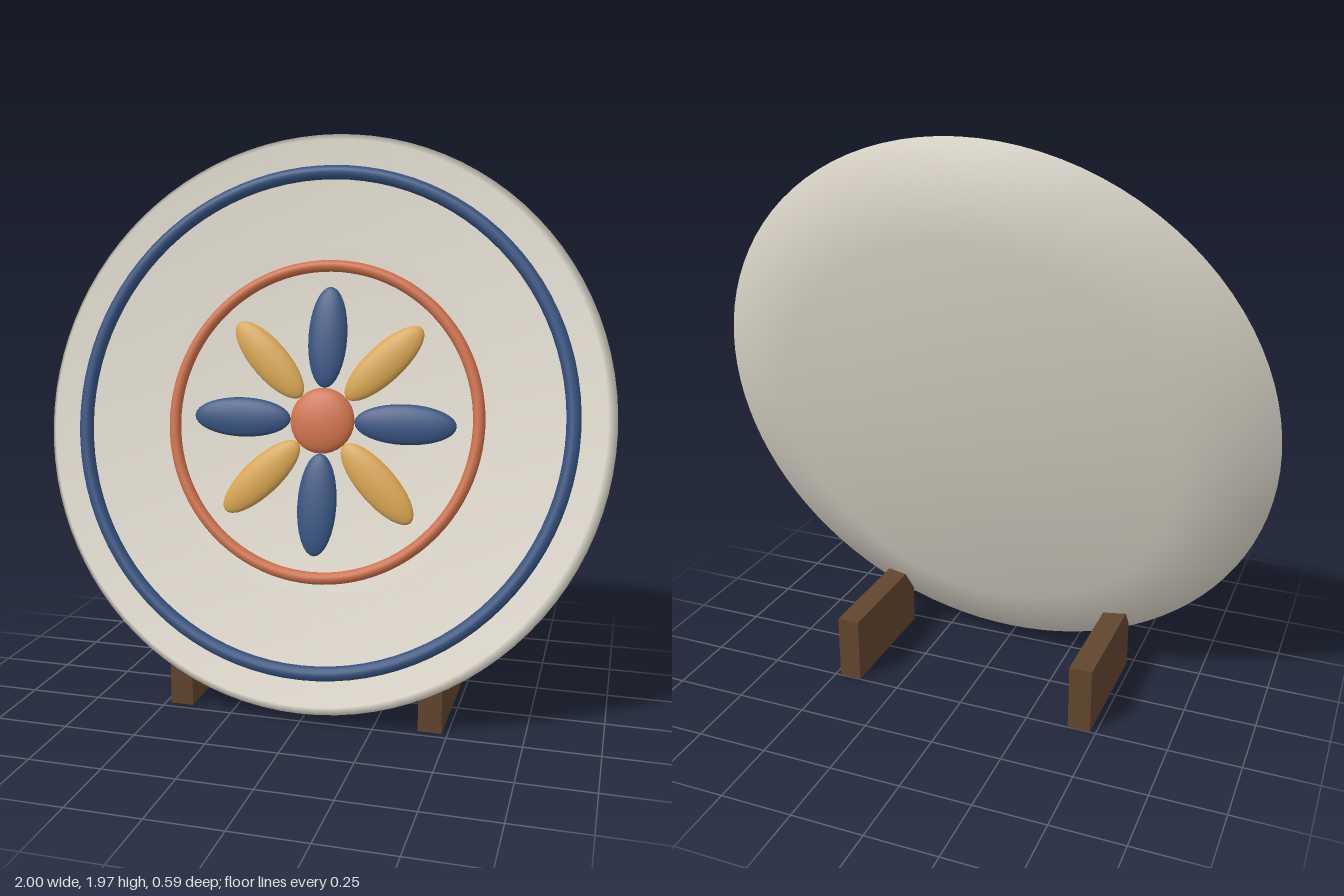
import * as THREE from 'three';

const paint = (name, color) => {
  const m = new THREE.MeshStandardMaterial({ color });
  m.name = name;
  return m;
};

export function createModel() {
  const cream = paint('creamGlaze', 0xddd7ca);
  const blue = paint('blueGlaze', 0x35527f);
  const orange = paint('orangeGlaze', 0xcd704a);
  const yellow = paint('yellowGlaze', 0xd5a34e);
  const wood = paint('wood', 0x61462d);

  const model = new THREE.Group();
  model.name = 'decorativePlateOnStand';

  // Plate group: local +y is the plate's front, leaning back 0.25 rad
  const plate = new THREE.Group();
  plate.name = 'plate';
  plate.position.set(0, 1.0025, 0.0175);
  plate.rotation.x = Math.PI / 2 - 0.25;
  model.add(plate);

  const add = (parent, name, geometry, material) => {
    const mesh = new THREE.Mesh(geometry, material);
    mesh.name = name;
    parent.add(mesh);
    return mesh;
  };

  // Dish: flat back, flared side, thin lip and shallow well
  const profile = [
    [0, -0.136], [0.71, -0.136], [1, 0], [0.97, 0.039], [0.6, -0.06], [0, -0.06],
  ].map(([r, y]) => new THREE.Vector2(r, y));
  add(plate, 'dish', new THREE.LatheGeometry(profile, 96), cream);

  // Raised rings
  const ring = (name, radius, tube, y, material) => {
    const geometry = new THREE.TorusGeometry(radius, tube, 14, 96).rotateX(Math.PI / 2);
    add(plate, name, geometry, material).position.y = y;
  };
  ring('outerRing', 0.862, 0.025, 0.01, blue);
  ring('innerRing', 0.546, 0.021, -0.055, orange);

  // Flower: eight alternating petals around a domed centre
  const flower = new THREE.Group();
  flower.name = 'flower';
  flower.position.y = -0.055;
  plate.add(flower);
  const ball = new THREE.SphereGeometry(1, 32, 20);
  for (let i = 0; i < 8; i++) {
    const angle = (i * Math.PI) / 4;
    const petal = add(flower, 'petal', ball, i % 2 ? yellow : blue);
    petal.scale.set(0.178, 0.026, i % 2 ? 0.066 : 0.07);
    petal.position.set(0.293 * Math.cos(angle), 0, -0.293 * Math.sin(angle));
    petal.rotation.y = angle;
  }
  add(flower, 'flowerCentre', ball, orange).scale.set(0.115, 0.035, 0.115);

  // Stand feet
  for (const side of [-1, 1]) {
    const foot = add(model, side > 0 ? 'leftFoot' : 'rightFoot',
      new THREE.BoxGeometry(0.08, 0.235, 0.47), wood);
    foot.position.set(side * 0.44, 0.1175, -0.013);
  }
  return model;
}
